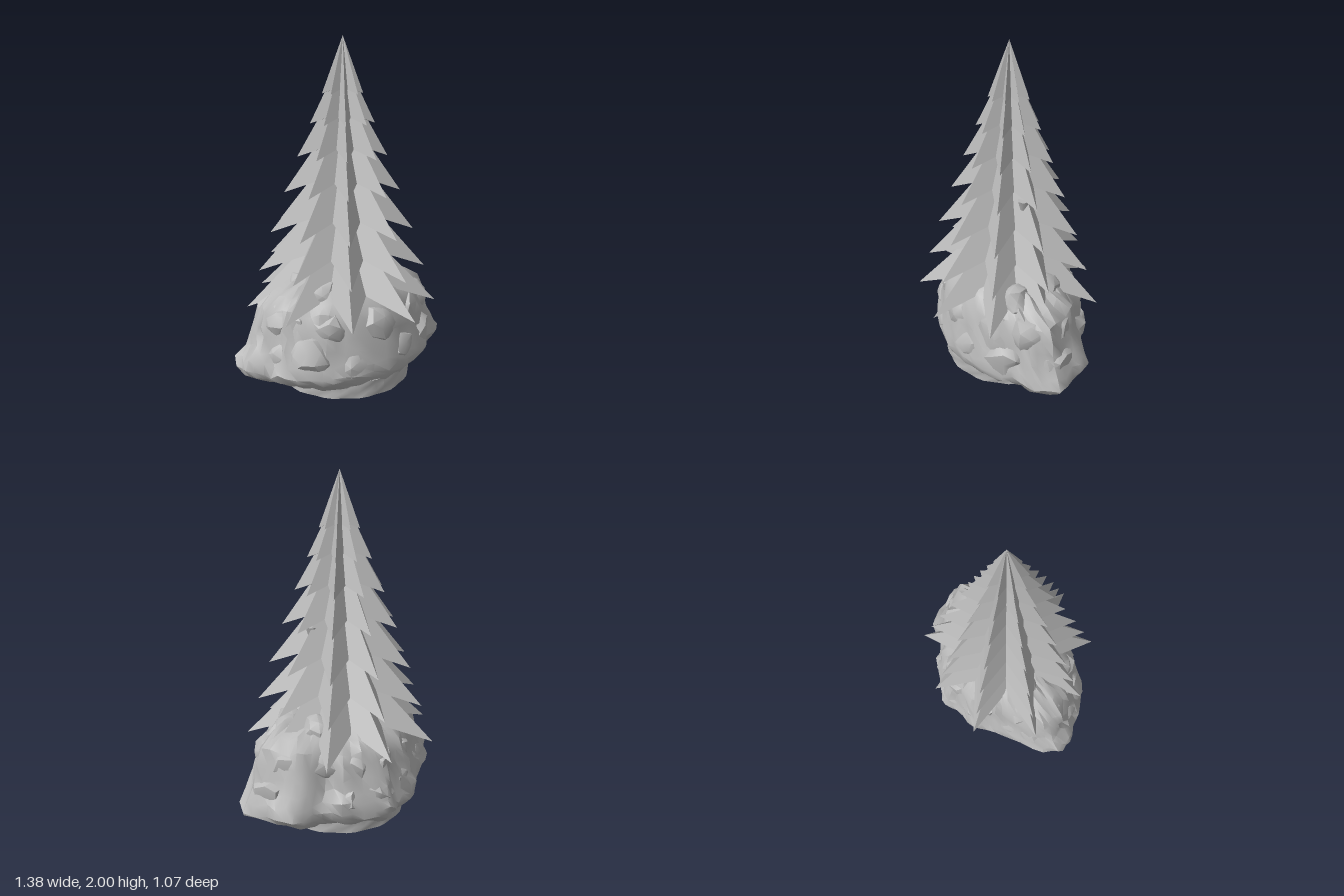
import * as THREE from 'three';
import { toCreasedNormals, mergeVertices } from 'three/addons/utils/BufferGeometryUtils.js';

const grey = new THREE.MeshStandardMaterial({ color: 0xb8b8b8, side: THREE.DoubleSide });
grey.name = 'stone grey';

// Small seeded random in [-1, 1]
function makeRandom(seed) {
  let s = seed;
  return () => {
    s = (s * 16807) % 2147483647;
    return (s / 2147483647) * 2 - 1;
  };
}

function addMesh(parent, name, geometry) {
  const mesh = new THREE.Mesh(geometry, grey);
  mesh.name = name;
  parent.add(mesh);
  return mesh;
}

// Reach of each of the nine branch tips, relative to the tier radius
const reach = [1.02, 1, 0.96, 1.02, 0.95, 1.03, 1.05, 1, 1.01];

// Star-shaped cone: pointed ridges alternate with shallow valleys below a shared apex
function branchTier(radius, tipY, apexY) {
  const arms = reach.length;
  const pos = [];
  const rim = (i) => {
    const tip = i % 2 === 0;
    const a = THREE.MathUtils.degToRad(9.5 + (i * 180) / arms);
    const r = radius * (tip ? reach[(i / 2) % arms] : 0.55);
    const y = tip ? tipY : tipY + radius * 0.2;
    return [Math.sin(a) * r, y, Math.cos(a) * r];
  };
  const apex = [0, apexY, 0];
  const under = [0, tipY + radius * 0.3, 0];
  for (let i = 0; i < arms * 2; i++) {
    pos.push(...apex, ...rim(i), ...rim(i + 1));
    pos.push(...under, ...rim(i + 1), ...rim(i));
  }
  const g = new THREE.BufferGeometry();
  g.setAttribute('position', new THREE.Float32BufferAttribute(pos, 3));
  g.computeVertexNormals();
  return g;
}

// Footprint of the mound, seen from above (x, z)
const outline = new THREE.CatmullRomCurve3(
  [
    [0.69, 0.03], [0.61, -0.14], [0.55, -0.26], [0.4, -0.3], [0.3, -0.41], [0.15, -0.49], [0.05, -0.53],
    [-0.05, -0.49], [-0.2, -0.48], [-0.3, -0.4], [-0.42, -0.33], [-0.6, -0.22], [-0.69, -0.13], [-0.68, -0.03],
    [-0.6, 0.08], [-0.53, 0.18], [-0.4, 0.3], [-0.25, 0.36], [0, 0.41], [0.2, 0.37], [0.38, 0.3], [0.5, 0.2], [0.62, 0.14],
  ].map(([x, z]) => new THREE.Vector3(x, 0, z)), true);

// Rings of the mound: height, x scale, z scale
const rings = [
  [0.035, 0.57, 0.72], [0.065, 0.76, 0.87], [0.1, 0.88, 0.94], [0.13, 0.97, 0.97], [0.17, 1.0, 0.99], [0.22, 0.99, 0.97],
  [0.29, 0.91, 0.94], [0.36, 0.87, 0.9], [0.43, 0.84, 0.87], [0.5, 0.79, 0.82], [0.56, 0.67, 0.72], [0.605, 0.54, 0.6],
  [0.635, 0.42, 0.46], [0.65, 0.22, 0.24], [0.65, 0.01, 0.01],
];

function moundGeometry() {
  const random = makeRandom(71);
  const n = 60;
  const pos = [];
  const index = [];
  // Vertical gullies, each column with its own depth
  const gullies = Array.from({ length: n }, () => 0.035 * random());
  rings.forEach(([y, sx, sz], j) => {
    for (let i = 0; i < n; i++) {
      const p = outline.getPoint(i / n);
      const lump = gullies[(i + (j >> 2)) % n] + 0.025 * random() - 0.02;
      const k = 1 + (j > 4 ? lump : 0.02 * random());
      const dy = (j < 4 ? 0.012 : 0.02) * random();
      pos.push(p.x * sx * k, y + dy, p.z * sz * k);
      if (j < rings.length - 1) {
        const b = j * n + i;
        const c = j * n + ((i + 1) % n);
        index.push(b, c, b + n, c, c + n, b + n);
      }
    }
  });
  const g = new THREE.BufferGeometry();
  g.setAttribute('position', new THREE.Float32BufferAttribute(pos, 3));
  g.setIndex(index);
  return toCreasedNormals(g, 0.65);
}

// Irregular faceted rock
function rockGeometry(size, seed) {
  const random = makeRandom(seed * 7919 + 13);
  let g = new THREE.IcosahedronGeometry(size, 1);
  g.deleteAttribute('normal');
  g.deleteAttribute('uv');
  g = mergeVertices(g, 1e-4);
  const p = g.attributes.position;
  const v = new THREE.Vector3();
  for (let i = 0; i < p.count; i++) {
    v.fromBufferAttribute(p, i).multiplyScalar(1 + 0.14 * random());
    p.setXYZ(i, v.x, v.y, v.z);
  }
  return toCreasedNormals(g, 0.6);
}

export function createModel() {
  const model = new THREE.Group();
  model.name = 'treeOnRocks';

  // Tree: stacked tiers, narrow and steep at the top
  const tree = new THREE.Group();
  tree.name = 'tree';
  tree.position.set(-0.007, 0, -0.025);
  model.add(tree);
  [
    [0.115, 1.685, 2.0], [0.182, 1.52, 1.9], [0.255, 1.335, 1.785], [0.33, 1.135, 1.61],
    [0.41, 0.905, 1.43], [0.48, 0.68, 1.225], [0.55, 0.465, 1.03],
  ].forEach(([r, tipY, apexY], i) => addMesh(tree, `branchTier${i + 1}`, branchTier(r, tipY, apexY)));

  // Small stub among the branches
  addMesh(model, 'branchStub', new THREE.CylinderGeometry(0.033, 0.018, 0.055, 6)).position.set(0.19, 1.12, -0.005);

  // Rocky mound
  addMesh(model, 'mound', moundGeometry());

  // Broad rocks sunk deep into the mound, row by row: height, count, size, inset
  const rocks = new THREE.Group();
  rocks.name = 'rocks';
  model.add(rocks);
  const random = makeRandom(405);
  let id = 0;
  [[0.24, 12, 0.12, 0.74], [0.41, 12, 0.12, 0.64]].forEach(([y, count, size, inset], row) => {
    for (let i = 0; i < count; i++) {
      const p = outline.getPoint(((i + 0.5 * row + 0.25 * random() + 1) / count) % 1);
      const rock = addMesh(rocks, 'rock', rockGeometry(size * (1 + 0.12 * random()), ++id));
      rock.position.set(p.x * inset, y + 0.03 * random(), p.z * inset);
      rock.rotation.y = random() * 3;
    }
  });

  // Taller boulders either side of the trunk
  [[-0.26, 0.57, -0.1], [0.27, 0.55, 0.09], [-0.24, 0.56, 0.09], [0.25, 0.56, -0.11]].forEach(([x, y, z]) => {
    addMesh(rocks, 'boulder', rockGeometry(0.1, ++id)).position.set(x, y, z);
  });

  // Round base with a slightly rough side
  const base = new THREE.CylinderGeometry(0.4, 0.395, 0.1, 48, 3);
  const bp = base.attributes.position;
  for (let i = 0; i < bp.count; i++) {
    const x = bp.getX(i), y = bp.getY(i), z = bp.getZ(i);
    const k = 1 + 0.012 * Math.sin(Math.atan2(z, x) * 13 + y * 90);
    bp.setXYZ(i, x * k, y, z * k);
  }
  base.computeVertexNormals();
  addMesh(model, 'base', base).position.set(-0.005, 0.05, -0.025);

  return model;
}
